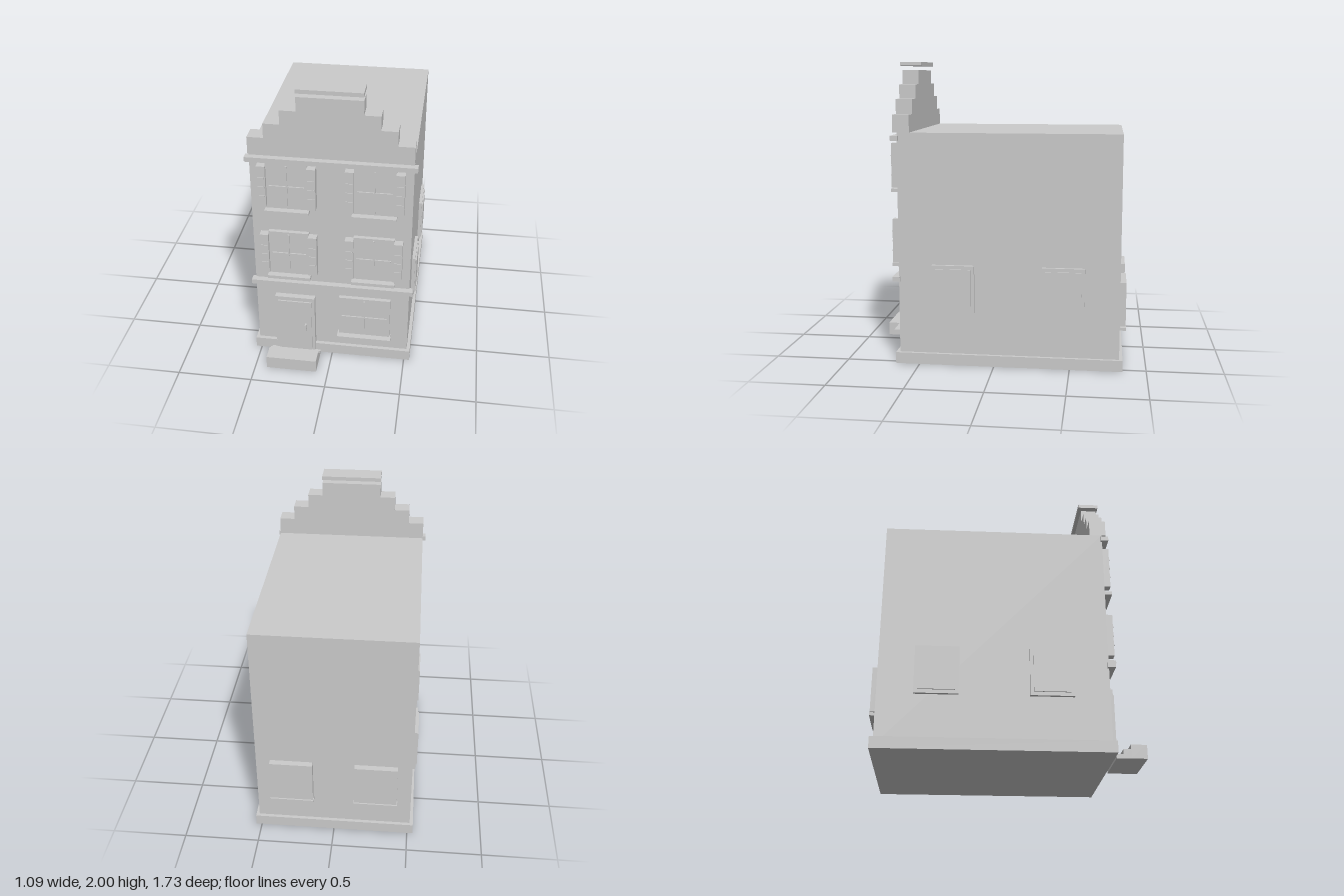
import * as THREE from 'three';

const material = new THREE.MeshStandardMaterial({ color: 0xcccccc, flatShading: true });

// Box given by its minimum and maximum on each axis
function block(parent, name, [x0, x1], [y0, y1], [z0, z1]) {
  const mesh = new THREE.Mesh(new THREE.BoxGeometry(x1 - x0, y1 - y0, z1 - z0), material);
  mesh.position.set((x0 + x1) / 2, (y0 + y1) / 2, (z0 + z1) / 2);
  mesh.name = name;
  parent.add(mesh);
  return mesh;
}

function group(parent, name, x = 0, y = 0, z = 0) {
  const g = new THREE.Group();
  g.name = name;
  g.position.set(x, y, z);
  parent.add(g);
  return g;
}

const WALL = 0.635; // front wall plane

// Front window: frame, glazing bars and sill, centred on its own origin
function frontWindow(parent, x, y, w, h) {
  const g = group(parent, 'frontWindow', x, y, WALL);
  block(g, 'windowFrame', [-w / 2, w / 2], [-h / 2, h / 2], [-0.01, 0.027]);
  block(g, 'glazingBarVertical', [-0.005, 0.005], [-h / 2 + 0.014, h / 2 - 0.014], [0.02, 0.036]);
  block(g, 'glazingBarHorizontal', [-w / 2 + 0.02, w / 2 - 0.02], [-0.005, 0.005], [0.02, 0.036]);
  block(g, 'windowSill', [-w / 2 - 0.01, w / 2 + 0.01], [-h / 2 - 0.02, -h / 2 + 0.002], [-0.01, 0.068]);
  return g;
}

// Shutter with three thin slats
function shutter(parent, x) {
  const g = group(parent, 'shutter', x);
  block(g, 'shutterPanel', [-0.028, 0.028], [-0.147, 0.147], [0, 0.051]);
  for (const y of [-0.065, 0, 0.065])
    block(g, 'shutterSlat', [-0.022, 0.022], [y - 0.004, y + 0.004], [0.045, 0.056]);
}

export function createModel() {
  const house = new THREE.Group();
  house.name = 'townHouse';

  // Main masses
  block(house, 'body', [-0.516, 0.516], [0.02, 1.545], [-0.823, WALL]);
  block(house, 'plinth', [-0.538, 0.538], [0, 0.075], [-0.845, 0.66]);
  block(house, 'lowerCornice', [-0.538, 0.538], [0.56, 0.592], [0.625, 0.675]);
  block(house, 'upperCornice', [-0.538, 0.538], [1.493, 1.525], [0.625, 0.675]);

  // Stepped gable: half outline, mirrored
  const steps = [[0.516, 1.66], [0.412, 1.757], [0.308, 1.851], [0.205, 1.945]];
  const half = [[0.516, 1.545]];
  steps.forEach(([x, y], i) => {
    half.push([x, y]);
    if (i < steps.length - 1) half.push([steps[i + 1][0], y]);
  });
  const outline = [...half, ...half.map(([x, y]) => [-x, y]).reverse()];
  const gableShape = new THREE.Shape(outline.map(([x, y]) => new THREE.Vector2(x, y)));
  const gable = new THREE.Mesh(
    new THREE.ExtrudeGeometry(gableShape, { depth: 0.11, bevelEnabled: false }), material);
  gable.name = 'steppedGable';
  gable.position.z = 0.552;
  house.add(gable);
  block(house, 'gableCap', [-0.205, 0.205], [1.974, 2], [0.535, 0.677]);

  // Upper-floor windows with shutters
  for (const y of [0.82, 1.325])
    for (const side of [-1, 1]) {
      const w = frontWindow(house, side * 0.278, y, 0.264, 0.325);
      for (const s of [-1, 1]) shutter(w, s * 0.158);
    }

  // Ground-floor window
  frontWindow(house, 0.222, 0.34, 0.345, 0.302);

  // Door
  const door = group(house, 'door');
  block(door, 'doorFrame', [-0.385, -0.115], [0.02, 0.468], [0.62, 0.675]);
  block(door, 'doorLeaf', [-0.364, -0.136], [0.025, 0.44], [0.63, 0.685]);
  block(door, 'doorHandle', [-0.181, -0.171], [0.2, 0.26], [0.68, 0.703]);

  // Stoop, with its high landing at the front
  const stoop = group(house, 'stoop');
  [[0.09, 0.763, 0.865], [0.06, 0.715, 0.763], [0.028, 0.67, 0.715]].forEach(([h, z0, z1]) =>
    block(stoop, 'stoopStep', [-0.42, -0.08], [0, h], [z0, z1]));

  // Side windows: frame with a slightly raised pane
  for (const side of [-1, 1])
    for (const z of [0.27, -0.455]) {
      const g = group(house, 'sideWindow', side * 0.516, 0.518, z);
      const span = (d) => (side > 0 ? [-0.01, d] : [-d, 0.01]);
      block(g, 'sideFrame', span(0.021), [-0.159, 0.159], [-0.14, 0.14]);
      block(g, 'sidePane', span(0.03), [-0.135, 0.135], [-0.117, 0.117]);
    }

  // Back windows
  for (const side of [-1, 1]) {
    const g = group(house, 'backWindow', side * 0.28, 0, -0.823);
    block(g, 'backFrame', [-0.142, 0.142], [0.272, 0.568], [-0.04, 0.01]);
    block(g, 'backSill', [-0.146, 0.146], [0.245, 0.265], [-0.042, 0.01]);
  }

  return house;
}
